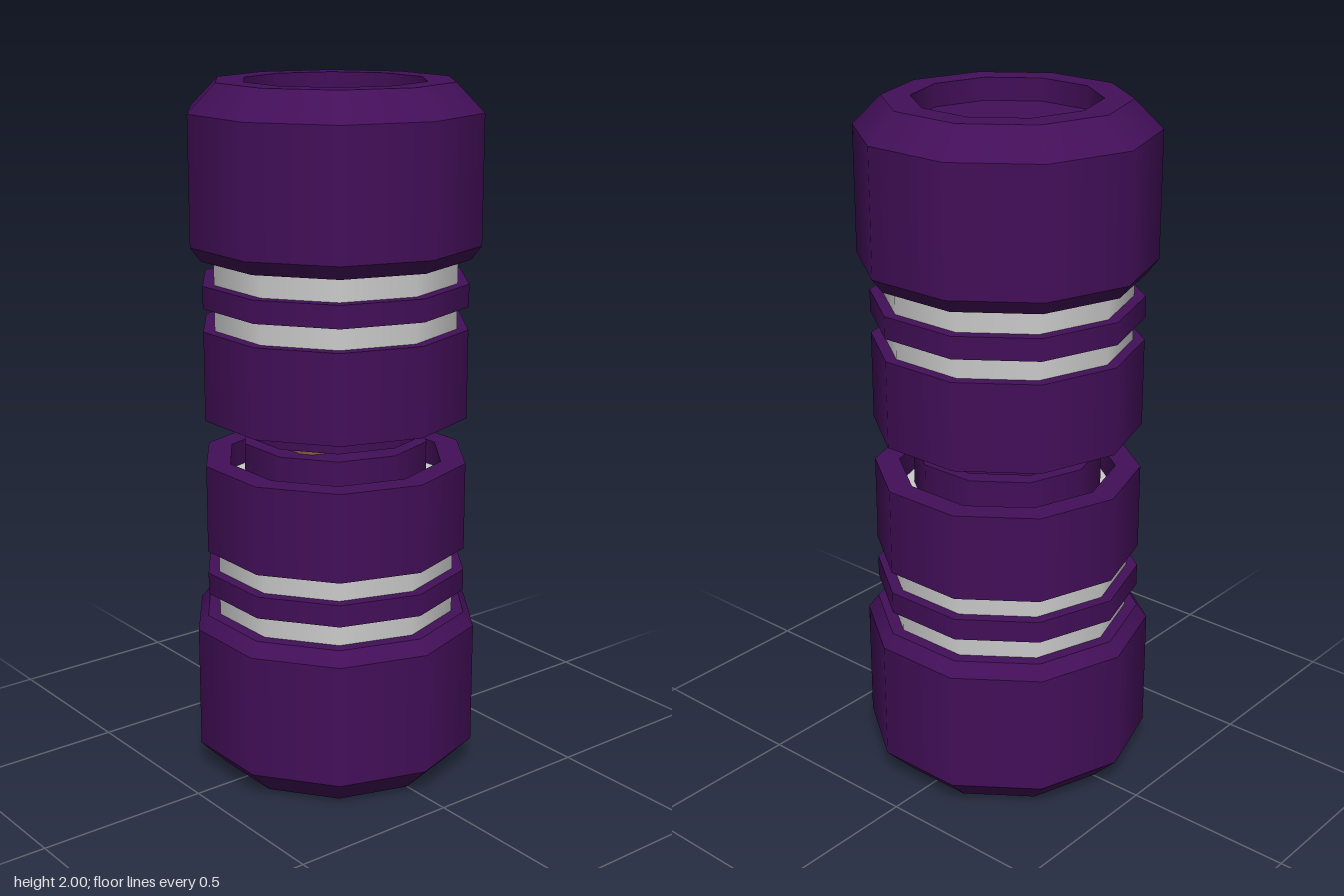
import * as THREE from 'three';
import { mergeGeometries } from 'three/addons/utils/BufferGeometryUtils.js';

const SIDES = 10;
const purple = new THREE.MeshStandardMaterial({ color: 0x430f59 });
const grey = new THREE.MeshStandardMaterial({ color: 0xcccccc });
const brown = new THREE.MeshStandardMaterial({ color: 0x80603c });

// Ten-sided turned part: smooth around the axis, sharp between profile segments.
// Profiles run from bottom to top along the outside.
function turned(profile) {
  const bands = [];
  for (let i = 0; i < profile.length - 1; i++) {
    const pair = [profile[i], profile[i + 1]].map(([r, y]) => new THREE.Vector2(r, y));
    bands.push(new THREE.LatheGeometry(pair, SIDES));
  }
  return mergeGeometries(bands);
}

const disc = (r, y0, y1) => [[0, y0], [r, y0], [r, y1], [0, y1]];

// Parts of the lower half; the upper half is the same, mirrored about y = 1
const halfParts = [
  // Bevelled end cap with a shallow recess in its outer face
  ['endCap', purple, [[0, 0.065], [0.26, 0.065], [0.26, 0], [0.34, 0], [0.42, 0.08],
    [0.42, 0.44], [0.39, 0.48], [0, 0.48]]],
  // Inner core, seen in the grooves and on the collar's floor
  ['core', grey, disc(0.354, 0.4, 0.86)],
  ['ring', purple, [[0.35, 0.548], [0.387, 0.548], [0.387, 0.612], [0.35, 0.612]]],
  // Hollow collar around the neck
  ['collar', purple, [[0.35, 0.677], [0.387, 0.677], [0.387, 0.933], [0.315, 0.933], [0.315, 0.858]]],
  ['neck', purple, disc(0.272, 0.85, 0.989)],
];

// Connecting pins in the central gap: x, z, radius
const pins = [[-0.14, 0.075, 0.06], [0, -0.085, 0.048], [0.185, 0, 0.03]];

export function createModel() {
  const model = new THREE.Group();

  for (const upper of [false, true]) {
    const half = new THREE.Group();
    half.name = upper ? 'upperHalf' : 'lowerHalf';
    for (const [name, material, profile] of halfParts) {
      const points = upper ? profile.map(([r, y]) => [r, 2 - y]).reverse() : profile;
      const mesh = new THREE.Mesh(turned(points), material);
      mesh.name = name;
      half.add(mesh);
    }
    model.add(half);
  }

  for (const [x, z, r] of pins) {
    const pin = new THREE.Mesh(new THREE.CylinderGeometry(r, r, 0.06, SIDES), brown);
    pin.name = 'connectingPin';
    pin.position.set(x, 1, z);
    model.add(pin);
  }
  return model;
}
